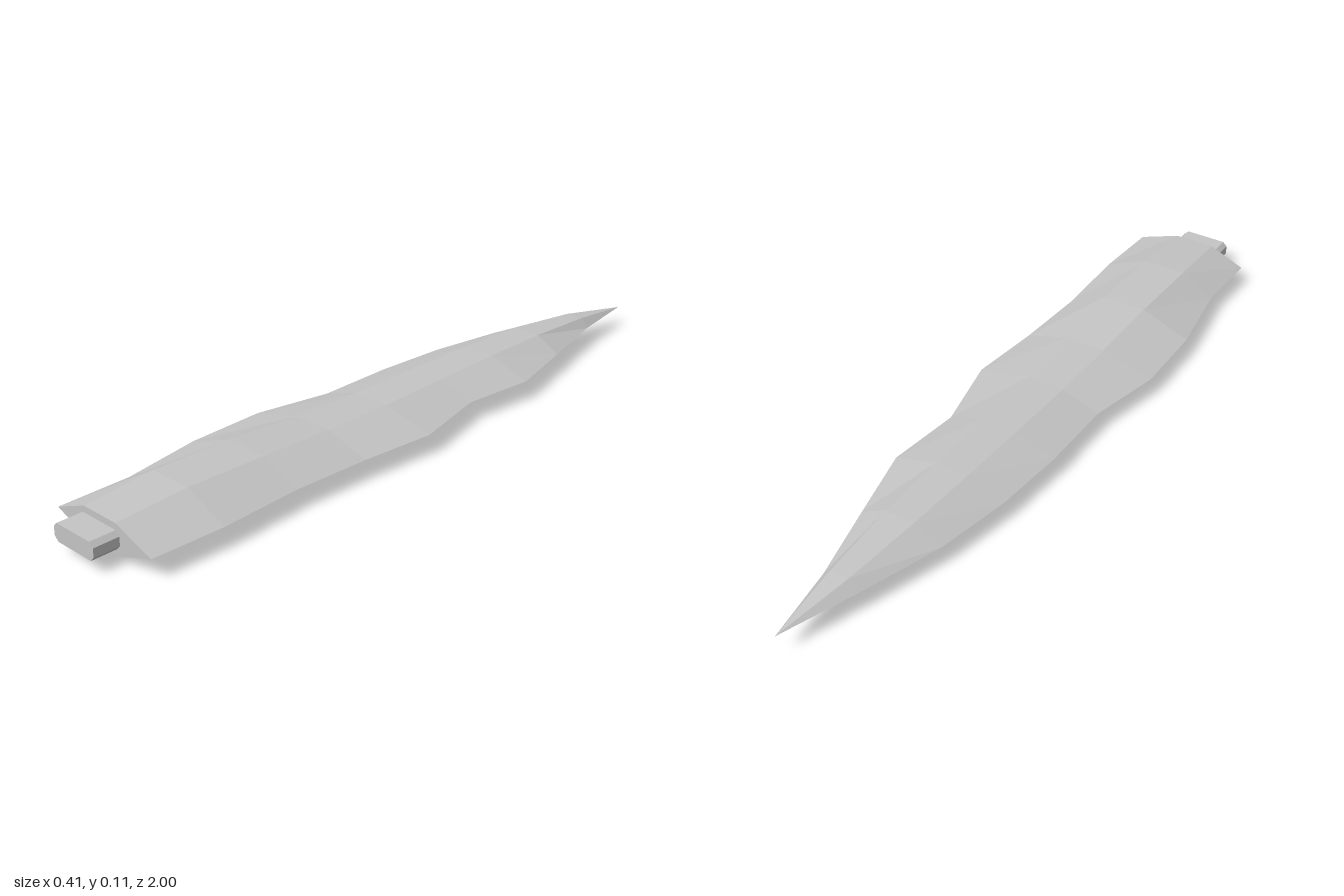
import * as THREE from 'three';

const EDGE_Y = 0.058;

// Blade stations: z, left edge x, right edge x, ridge x pair, ridge top y, ridge bottom y
const STATIONS = [
  [0.93, -0.16, 0.18, -0.056, 0.06, 0.1, 0.016],
  [0.73, -0.16, 0.187, -0.063, 0.062, 0.112, 0.003],
  [0.5, -0.2, 0.175, -0.06, 0.066, 0.109, 0.008],
  [0.28, -0.207, 0.184, -0.058, 0.058, 0.097, 0.013],
  [0.07, -0.165, 0.203, -0.056, 0.052, 0.093, 0.022],
  [-0.15, -0.168, 0.15, -0.054, 0.05, 0.096, 0.022],
  [-0.36, -0.155, 0.17, -0.05, 0.045, 0.097, 0.02],
  [-0.57, -0.12, 0.115, -0.042, 0.042, 0.096, 0.025],
  [-0.79, -0.052, 0.056, -0.02, 0.032, 0.083, 0.037],
];
const TIP = [0.02, EDGE_Y, -1];

function bladeGeometry() {
  const positions = [];
  const index = [];
  const n = 6;
  // Six-sided cross-sections, counter-clockwise seen from the front
  for (const [z, left, right, ridgeL, ridgeR, top, bottom] of STATIONS) {
    positions.push(
      left, EDGE_Y, z, ridgeL, bottom, z, ridgeR, bottom, z,
      right, EDGE_Y, z, ridgeR, top, z, ridgeL, top, z,
    );
  }
  const tip = positions.length / 3;
  positions.push(...TIP);

  // Flat butt end
  for (let j = 1; j < n - 1; j++) index.push(0, j, j + 1);

  // Faceted skin between stations, closing at the point
  const last = STATIONS.length - 1;
  for (let i = 0; i <= last; i++) {
    for (let j = 0; j < n; j++) {
      const a = i * n + j;
      const b = i * n + (j + 1) % n;
      if (i === last) index.push(a, tip, b);
      else index.push(a, a + n, b, b, a + n, b + n);
    }
  }
  const indexed = new THREE.BufferGeometry();
  indexed.setAttribute('position', new THREE.Float32BufferAttribute(positions, 3));
  indexed.setIndex(index);
  const geometry = indexed.toNonIndexed();
  geometry.computeVertexNormals();
  return geometry;
}

function tangGeometry() {
  // Bar with chamfered corners
  const w = 0.072, h = 0.024, c = 0.012;
  const shape = new THREE.Shape([
    [-w + c, -h], [w - c, -h], [w, -h + c], [w, h - c],
    [w - c, h], [-w + c, h], [-w, h - c], [-w, -h + c],
  ].map(([x, y]) => new THREE.Vector2(x, y)));
  return new THREE.ExtrudeGeometry(shape, { depth: 0.08, bevelEnabled: false });
}

export function createModel() {
  const stone = new THREE.MeshStandardMaterial({ color: 0xc4c4c4 });
  stone.name = 'pale grey';
  stone.flatShading = true;

  const model = new THREE.Group();
  model.name = 'knappedBlade';

  const blade = new THREE.Mesh(bladeGeometry(), stone);
  blade.name = 'blade';
  model.add(blade);

  const tang = new THREE.Mesh(tangGeometry(), stone);
  tang.name = 'tang';
  tang.position.set(-0.002, EDGE_Y, 0.92);
  model.add(tang);

  return model;
}
